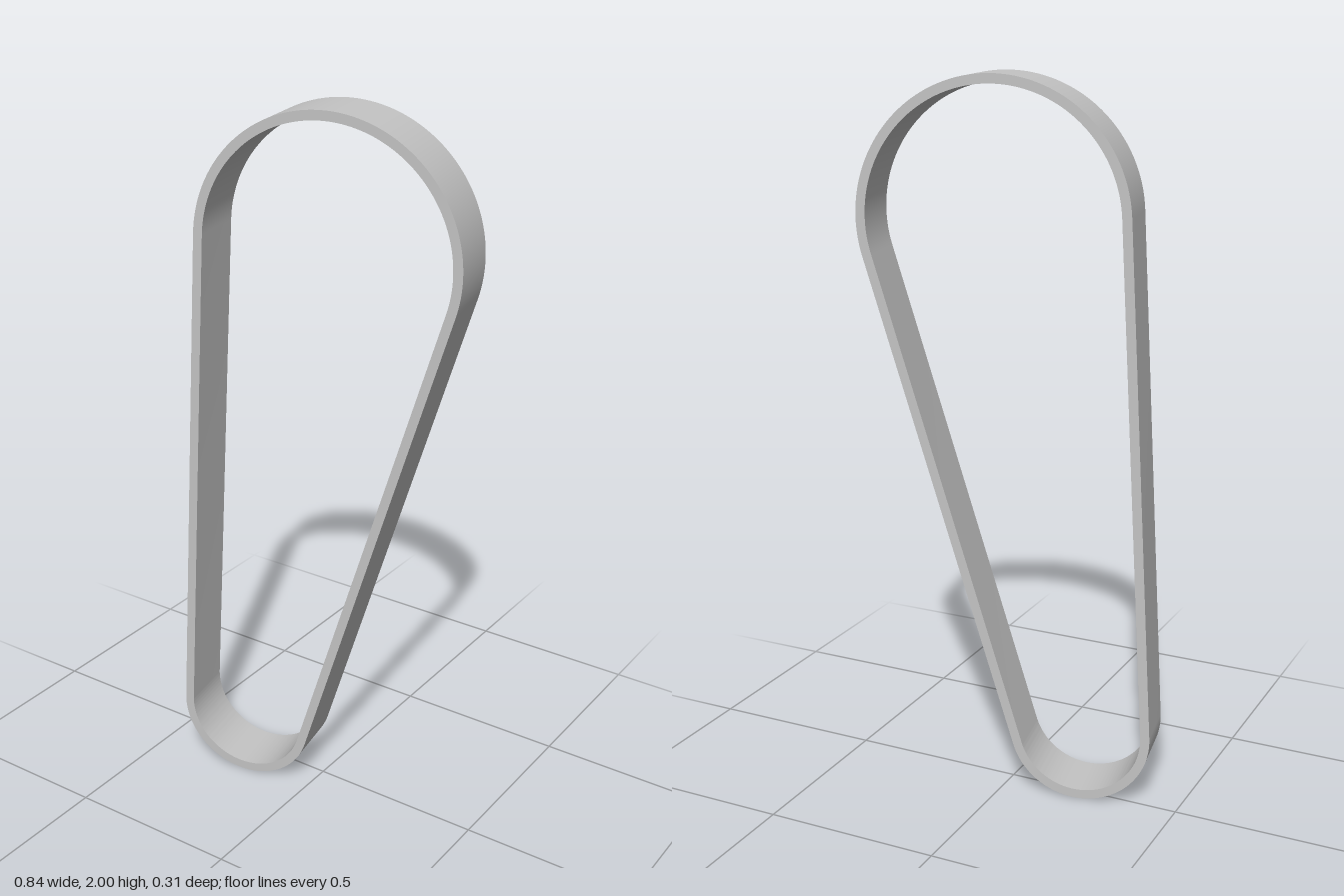
import * as THREE from 'three';
import { toCreasedNormals } from 'three/addons/utils/BufferGeometryUtils.js';

const DEPTH = 0.166, THICKNESS = 0.026;
const TOP = { x: 0.0385, y: 1.626, r: 0.374 };
const BOTTOM = { x: -0.2135, y: 0.2, r: 0.2 };

// Outline of a band stretched around both circles, shrunk by inset
function bandOutline(path, inset) {
  const dx = TOP.x - BOTTOM.x, dy = TOP.y - BOTTOM.y;
  const axis = Math.atan2(dy, dx);
  const spread = Math.acos((BOTTOM.r - TOP.r) / Math.hypot(dx, dy));
  const right = axis - spread, left = axis + spread;
  path.absarc(TOP.x, TOP.y, TOP.r - inset, right, left, false);
  path.absarc(BOTTOM.x, BOTTOM.y, BOTTOM.r - inset, left, right + Math.PI * 2, false);
  path.closePath();
  return path;
}

export function createModel() {
  const group = new THREE.Group();
  group.name = 'driveBelt';
  const rubber = new THREE.MeshStandardMaterial({ color: 0xc4c4c4 });
  rubber.name = 'beltGrey';

  // Thin closed band with straight runs between two round ends
  const shape = bandOutline(new THREE.Shape(), 0);
  shape.holes.push(bandOutline(new THREE.Path(), THICKNESS));
  const extruded = new THREE.ExtrudeGeometry(shape, {
    depth: DEPTH, bevelEnabled: false, curveSegments: 48,
  });
  extruded.translate(0, 0, -DEPTH / 2);

  const belt = new THREE.Mesh(toCreasedNormals(extruded, Math.PI / 6), rubber);
  belt.name = 'belt';
  belt.rotation.y = THREE.MathUtils.degToRad(10);
  group.add(belt);
  return group;
}
